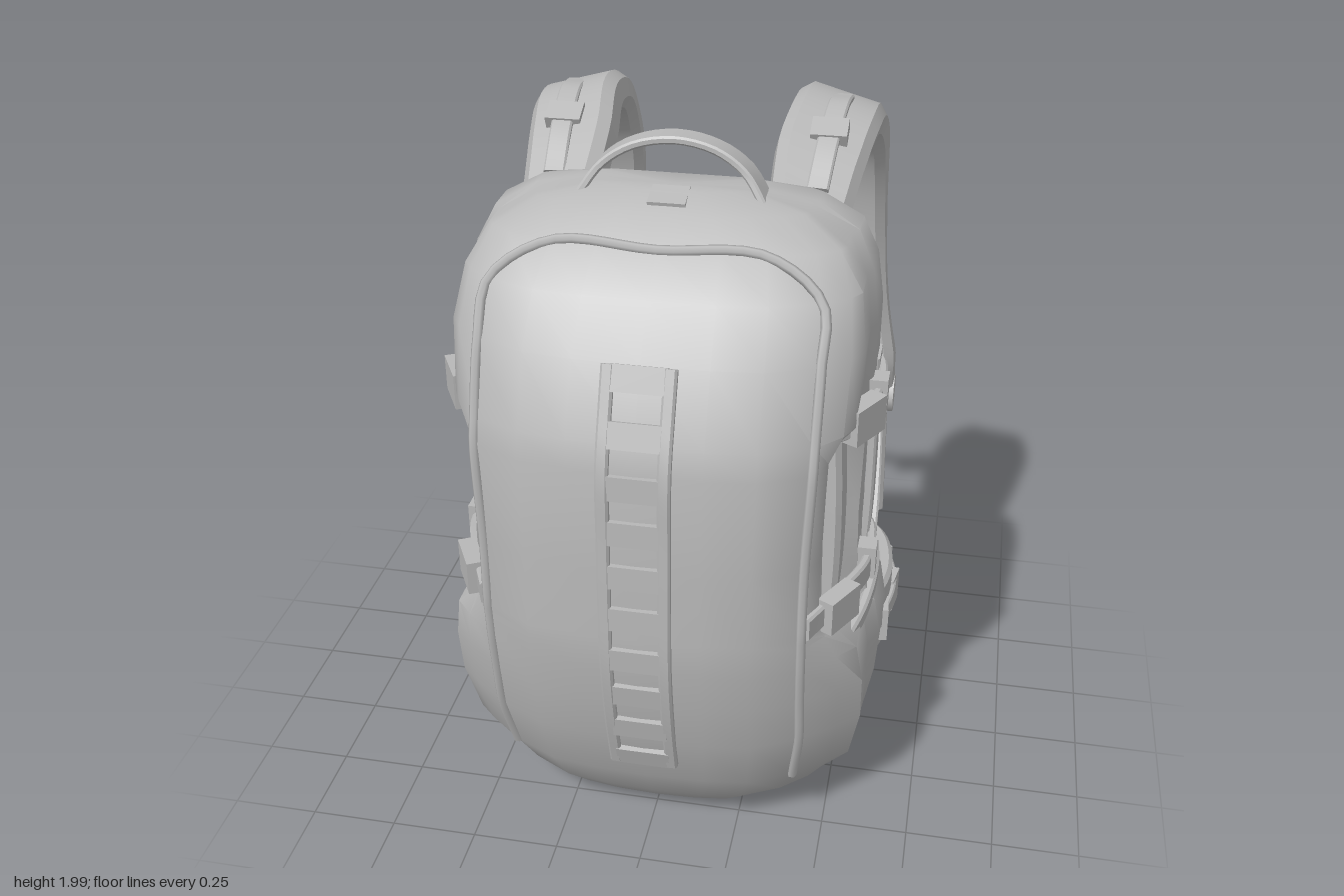
import * as THREE from 'three';
import { toCreasedNormals } from 'three/addons/utils/BufferGeometryUtils.js';

const V = (x, y, z) => new THREE.Vector3(x, y, z);
const fabric = new THREE.MeshStandardMaterial({ color: 0xb8b8b8 });
fabric.name = 'grey fabric';

// Closed skin over a list of equal-sized rings (counter-clockwise about the path)
function loft(rings, crease) {
  const n = rings[0].length, pos = [], idx = [];
  const add = p => pos.push(p.x, p.y, p.z) / 3 - 1;
  rings.forEach(r => r.forEach(add));
  for (let i = 0; i < rings.length - 1; i++) {
    for (let j = 0; j < n; j++) {
      const a = i * n + j, b = i * n + (j + 1) % n;
      idx.push(a, b, a + n, b, b + n, a + n);
    }
  }
  const cap = (i, flip) => {
    const c = add(rings[i].reduce((s, p) => s.add(p), V(0, 0, 0)).divideScalar(n));
    for (let j = 0; j < n; j++) {
      const a = i * n + j, b = i * n + (j + 1) % n;
      flip ? idx.push(c, b, a) : idx.push(c, a, b);
    }
  };
  cap(0, true);
  cap(rings.length - 1, false);
  const g = new THREE.BufferGeometry();
  g.setAttribute('position', new THREE.Float32BufferAttribute(pos, 3));
  g.setIndex(idx);
  return toCreasedNormals(g, crease);
}

// Flat strap along a smooth path; points are [x, y, z, width]
function strap(points, across, thick, steps = 24) {
  const curve = new THREE.CatmullRomCurve3(points.map(p => V(p[0], p[1], p[2])));
  const rings = [];
  for (let i = 0; i <= steps; i++) {
    const t = i / steps, u = t * (points.length - 1), k = Math.min(Math.floor(u), points.length - 2);
    const w = THREE.MathUtils.lerp(points[k][3], points[k + 1][3], u - k) / 2;
    const c = curve.getPoint(t), T = curve.getTangent(t);
    const W = across.clone().addScaledVector(T, -across.dot(T)).normalize();
    const N = T.clone().cross(W), h = thick / 2, e = Math.min(w, h) * 0.5;
    rings.push([[w, -h + e], [w, h - e], [w - e, h], [e - w, h], [-w, h - e], [-w, e - h], [e - w, -h], [w - e, -h]]
      .map(([a, b]) => c.clone().addScaledVector(W, a).addScaledVector(N, b)));
  }
  return loft(rings, 0.6);
}

// Bag cross-sections: y, back z, front z, side, recessed side, front panel half widths
const rows = [
  [0.0, 0.15, 0.44, 0.27, 0.27, 0.2],
  [0.04, 0.0, 0.52, 0.4, 0.4, 0.3],
  [0.11, -0.03, 0.58, 0.49, 0.48, 0.37],
  [0.22, -0.02, 0.64, 0.58, 0.56, 0.41],
  [0.4, 0.0, 0.7, 0.61, 0.59, 0.43],
  [0.55, 0.02, 0.73, 0.62, 0.59, 0.43],
  [0.68, 0.04, 0.75, 0.6, 0.57, 0.43],
  [0.75, 0.055, 0.755, 0.56, 0.5, 0.43],
  [0.79, 0.09, 0.755, 0.545, 0.465, 0.43],
  [1.0, 0.1, 0.75, 0.54, 0.46, 0.43],
  [1.29, 0.09, 0.74, 0.545, 0.465, 0.44],
  [1.36, 0.07, 0.72, 0.555, 0.53, 0.44],
  [1.55, 0.07, 0.64, 0.555, 0.54, 0.44],
  [1.68, 0.07, 0.54, 0.535, 0.52, 0.43],
  [1.77, 0.07, 0.43, 0.49, 0.47, 0.4],
  [1.83, 0.08, 0.33, 0.38, 0.36, 0.3],
  [1.865, 0.13, 0.26, 0.2, 0.2, 0.16],
];

function bagRing([y, zb, zf, w, s, f]) {
  const half = [[0, 1], [f * 0.4, 0.99], [f * 0.7, 0.965], [f, 0.87], [(s + f) / 2 + 0.02, 0.76], [s, 0.68],
    [s, 0.44], [w, 0.36], [w, 0.08], [w * 0.92, 0], [0, 0]];
  const pts = half.map(([x, t]) => V(x, y, zb + (zf - zb) * t));
  return pts.concat(pts.slice(1, -1).reverse().map(p => V(-p.x, p.y, p.z)));
}

function frontZ(y) {
  const i = rows.findIndex((r, k) => k > 0 && r[0] >= y), a = rows[i - 1], b = rows[i];
  return THREE.MathUtils.lerp(a[2], b[2], (y - a[0]) / (b[0] - a[0]));
}

export function createModel() {
  const model = new THREE.Group();
  model.name = 'backpack';
  const add = (name, geo) => {
    const m = new THREE.Mesh(geo, fabric);
    m.name = name;
    model.add(m);
    return m;
  };
  const box = (name, x, y, z, w, h, d, ry = 0) => {
    const m = add(name, new THREE.BoxGeometry(w, h, d));
    m.position.set(x, y, z);
    m.rotation.y = ry;
    return m;
  };
  const up = V(0, 1, 0), side = V(1, 0, 0);

  // Main bag
  const rings = rows.map(bagRing);
  add('bag', loft(rings, 0.75));

  // Piping round the front panel
  const edge = rings.slice(3, 14).map(r => r[3]);
  const crown = [rings[14][2], rings[14][0]];
  const right = [...edge, ...crown];
  const loop = right.concat(right.slice(0, -1).reverse().map(p => V(-p.x, p.y, p.z)));
  add('frontPiping', new THREE.TubeGeometry(new THREE.CatmullRomCurve3(loop), 90, 0.014, 6));

  // Webbing ladder down the front
  const ladderY = [0.3, 0.5, 0.7, 0.9, 1.1, 1.3, 1.45, 1.55];
  for (const s of [-1, 1]) {
    add('ladderRail', strap(ladderY.map(y => [s * 0.08, y, frontZ(y) + 0.002, 0.035]), side, 0.025));
  }
  for (let i = 0; i < 10; i++) {
    const y = 0.33 + i * 0.132;
    box('ladderRung', 0, y, frontZ(y) - 0.002, 0.15, 0.07, 0.03)
      .rotation.x = Math.atan2(frontZ(y + 0.04) - frontZ(y - 0.04), 0.08);
  }

  // Carry handle
  add('carryHandle', strap([[-0.25, 1.83, 0.22, 0.09], [-0.19, 1.91, 0.19, 0.08], [-0.11, 1.96, 0.18, 0.07],
    [0, 1.98, 0.175, 0.07], [0.11, 1.96, 0.18, 0.07], [0.19, 1.91, 0.19, 0.08], [0.25, 1.83, 0.22, 0.09]], V(0, 0, 1), 0.022));
  box('handlePatch', 0, 1.85, 0.27, 0.1, 0.02, 0.08).rotation.x = 0.25;

  // Straps across the back panel
  for (const y of [0.8, 1.34]) box('backStrap', 0, y, 0.075, 1.0, 0.06, 0.03);

  for (const s of [-1, 1]) {
    // Side compression straps with buckles
    for (const [y, zEnd] of [[1.35, 0.56], [0.82, 0.66]]) {
      add('compressionStrap', strap([[s * 0.5, y - 0.01, 0.07, 0.08], [s * 0.56, y - 0.01, 0.13, 0.08],
        [s * 0.57, y - 0.01, 0.32, 0.075], [s * 0.53, y, 0.46, 0.07], [s * 0.44, y, zEnd, 0.07]], up, 0.025));
      box('compressionBuckle', s * (y > 1 ? 0.545 : 0.515), y, zEnd - 0.12, 0.05, 0.1, 0.13, -s * 0.5);
      box('strapSlider', s * 0.565, y, 0.29, 0.06, 0.1, 0.06);
    }
    // Side pocket panel and its edge straps
    add('sideRib', strap([[s * 0.545, 0.72, 0.15, 0.1], [s * 0.555, 0.9, 0.15, 0.1], [s * 0.555, 1.2, 0.15, 0.1],
      [s * 0.55, 1.4, 0.15, 0.1]], V(0, 0, 1), 0.025));
    add('sideSleeve', strap([[s * 0.46, 0.66, 0.42, 0.18], [s * 0.475, 0.85, 0.42, 0.17], [s * 0.475, 1.1, 0.42, 0.16],
      [s * 0.46, 1.36, 0.42, 0.14]], V(0, 0, 1), 0.06));
    add('pocketRim', strap([[s * 0.575, 0.74, 0.1, 0.05], [s * 0.585, 0.715, 0.2, 0.05], [s * 0.57, 0.69, 0.36, 0.05],
      [s * 0.53, 0.67, 0.52, 0.05]], up, 0.03));

    // Padded shoulder strap
    add('shoulderStrap', strap([[s * 0.34, 1.765, 0.06, 0.22], [s * 0.35, 1.86, -0.1, 0.25], [s * 0.37, 1.912, -0.25, 0.25],
      [s * 0.375, 1.885, -0.4, 0.25], [s * 0.38, 1.79, -0.51, 0.25], [s * 0.38, 1.65, -0.58, 0.25], [s * 0.39, 1.45, -0.62, 0.24],
      [s * 0.42, 1.2, -0.63, 0.22], [s * 0.475, 0.98, -0.63, 0.19], [s * 0.51, 0.88, -0.65, 0.12]],
    V(s, -0.28, 0), 0.11, 40));
    // Load lifter on top of the strap
    add('loadLifter', strap([[s * 0.36, 1.82, 0.07, 0.06], [s * 0.37, 1.91, -0.06, 0.06], [s * 0.38, 1.965, -0.2, 0.06],
      [s * 0.385, 1.96, -0.3, 0.06]], side, 0.02));
    box('lifterBuckle', s * 0.37, 1.925, -0.1, 0.1, 0.04, 0.07).rotation.x = 0.45;

    // Strap adjuster, hanging tail and lower webbing
    const knob = add('strapAdjuster', new THREE.CylinderGeometry(0.065, 0.065, 0.1, 8));
    knob.rotation.z = Math.PI / 2;
    knob.position.set(s * 0.52, 0.84, -0.67);
    add('strapTail', strap([[s * 0.52, 0.82, -0.66, 0.06], [s * 0.525, 0.6, -0.675, 0.06], [s * 0.525, 0.38, -0.68, 0.07]], side, 0.045));
    add('lowerWebbing', strap([[s * 0.52, 0.83, -0.65, 0.05], [s * 0.54, 0.68, -0.49, 0.05], [s * 0.55, 0.51, -0.28, 0.06],
      [s * 0.54, 0.43, -0.12, 0.1], [s * 0.5, 0.36, 0.02, 0.16]], up, 0.025));
    add('hipWing', strap([[s * 0.46, 0.42, 0.03, 0.3], [s * 0.49, 0.46, -0.07, 0.2], [s * 0.51, 0.46, -0.16, 0.08]], up, 0.03));

    // Chest strap buckle
    box('chestBuckle', s * 0.26, 1.19, -0.715, 0.1, 0.1, 0.05, s * 0.3);

    // Hip belt pouch webbing
    for (const [x, z, r] of [[0.595, -0.25, 0.12], [0.61, -0.42, -0.15], [0.56, -0.57, -0.7]]) {
      box('beltLoop', s * x, 0.22, z, 0.05, 0.12, 0.09, s * r);
    }
    add('beltWebbing', strap([[s * 0.575, 0.24, -0.14, 0.06], [s * 0.615, 0.24, -0.28, 0.06], [s * 0.625, 0.24, -0.42, 0.06],
      [s * 0.585, 0.24, -0.58, 0.06], [s * 0.5, 0.25, -0.68, 0.06]], up, 0.02));
  }

  // Chest strap
  add('chestStrap', strap([[-0.36, 1.19, -0.69, 0.06], [-0.24, 1.19, -0.725, 0.06], [0, 1.17, -0.75, 0.05],
    [0.24, 1.19, -0.725, 0.06], [0.36, 1.19, -0.69, 0.06]], up, 0.025));
  box('chestClip', 0, 1.17, -0.75, 0.1, 0.07, 0.03);

  // Hip belt
  const hip = [[0.46, 0.26, 0.02, 0.24], [0.54, 0.25, -0.12, 0.25], [0.585, 0.24, -0.28, 0.24], [0.59, 0.245, -0.42, 0.22],
    [0.55, 0.25, -0.57, 0.21], [0.46, 0.26, -0.65, 0.2], [0.25, 0.26, -0.675, 0.19]];
  const belt = [...hip, [0, 0.26, -0.68, 0.18], ...hip.slice().reverse().map(([x, ...r]) => [-x, ...r])];
  add('hipBelt', strap(belt, up, 0.055, 56));
  return model;
}
